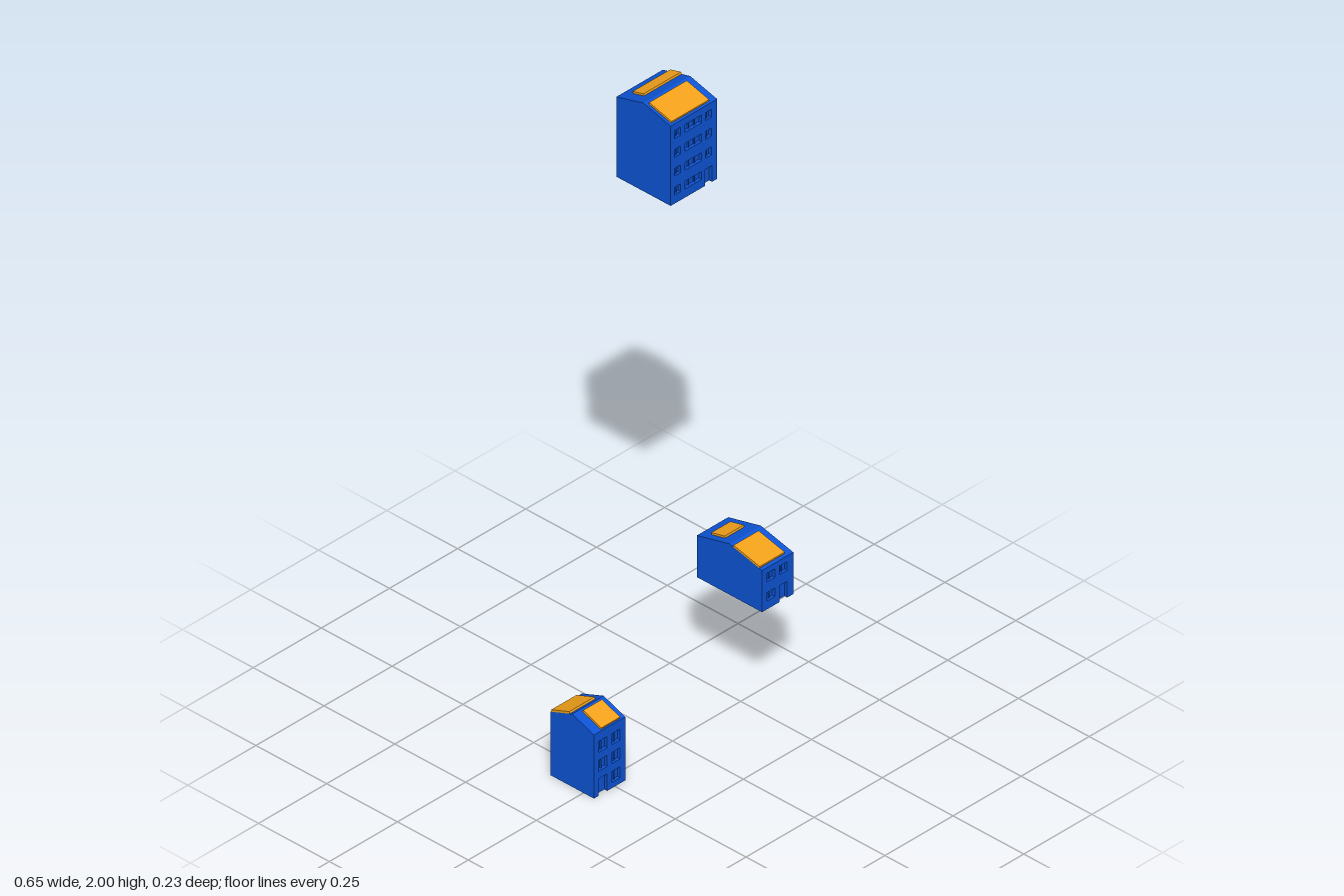
import * as THREE from 'three';

const blue = new THREE.MeshStandardMaterial({ color: 0x0d55d8 });
const orange = new THREE.MeshStandardMaterial({ color: 0xf5a31a });
const RECESS = 0.01;
const PANEL = 0.006;

// x: [min, max], z: [back, front], y: [base, eave, ridge]
// windows: [centre x, centre y, width, height]; panels: [x0, x1, z0, z1]
const columns = (xs, ys, height) => ys.flatMap(y => xs.map(([x, w]) => [x, y, w, height]));
const houses = [
  {
    name: 'leftHouse', x: [-0.327, -0.212], z: [-0.116, 0.037], y: [0, 0.195, 0.224],
    windows: [...columns([[-0.294, 0.031], [-0.246, 0.031]], [0.15, 0.092], 0.034), [-0.246, 0.034, 0.031, 0.034]],
    door: [-0.294, 0.031, 0.052],
    panels: [[-0.327, -0.234, -0.112, -0.048], [-0.298, -0.229, -0.031, 0.033]],
  },
  {
    name: 'upperHouse', x: [-0.086, 0.085], z: [-0.116, 0.076], y: [1.722, 1.967, 1.993],
    windows: [
      ...columns([[-0.06, 0.022], [-0.003, 0.062], [0.053, 0.022]], [1.934, 1.876, 1.818], 0.024),
      ...columns([[-0.06, 0.022], [-0.003, 0.062]], [1.76], 0.024),
    ],
    door: [0.053, 0.026, 0.05],
    panels: [[-0.053, 0.085, -0.088, -0.05], [-0.077, 0.061, -0.01, 0.069]],
  },
  {
    name: 'rightHouse', x: [0.21, 0.325], z: [-0.116, 0.114], y: [0.347, 0.475, 0.503],
    windows: [...columns([[0.243, 0.029], [0.288, 0.029]], [0.444], 0.026), [0.243, 0.385, 0.029, 0.026]],
    door: [0.288, 0.029, 0.05],
    panels: [[0.23, 0.3, -0.083, -0.036], [0.21, 0.302, 0.012, 0.104]],
  },
];

const polygon = pts => new THREE.Shape(pts.map(p => new THREE.Vector2(...p)));
const extrude = (shape, depth) => new THREE.ExtrudeGeometry(shape, { depth, bevelEnabled: false });

function addMesh(group, name, geometry, material) {
  const mesh = new THREE.Mesh(geometry, material);
  mesh.name = name;
  group.add(mesh);
  return mesh;
}

function createHouse({ name, x: [x0, x1], z: [z0, z1], y: [base, eave, ridge], windows, door, panels }) {
  const house = new THREE.Group();
  house.name = name;
  const mid = (z0 + z1) / 2;
  const inner = z1 - RECESS;

  // Gabled body: side profile swept across the width
  const profile = polygon([
    [z0, base], [inner, base], [inner, eave], [z1, eave], [mid, ridge], [z0, eave],
  ]);
  const body = extrude(profile, x1 - x0).rotateY(-Math.PI / 2).translate(x1, 0, 0);
  addMesh(house, 'body', body, blue);

  // Front wall with window openings and a doorway open at the bottom
  const [dx, dw, dh] = door;
  const wall = polygon([
    [x0, base], [dx - dw / 2, base], [dx - dw / 2, base + dh], [dx + dw / 2, base + dh],
    [dx + dw / 2, base], [x1, base], [x1, eave], [x0, eave],
  ]);
  for (const [cx, cy, w, h] of windows) {
    const l = cx - w / 2, r = cx + w / 2, b = cy - h / 2, t = cy + h / 2;
    wall.holes.push(new THREE.Path([[l, b], [l, t], [r, t], [r, b]].map(p => new THREE.Vector2(...p))));

    // Glazing bars inside the recess
    const bars = w > h * 2 ? [-w / 6, w / 6] : [0];
    for (const offset of bars) {
      addMesh(house, 'windowBar', new THREE.BoxGeometry(0.003, h, 0.004), blue)
        .position.set(cx + offset, cy, inner + 0.002);
    }
  }
  addMesh(house, 'frontWall', extrude(wall, RECESS).translate(0, 0, inner), blue);

  // Roof panels lying on the slopes
  const slope = Math.atan2(ridge - eave, z1 - mid);
  for (const [px0, px1, pz0, pz1] of panels) {
    const cz = (pz0 + pz1) / 2;
    const roofY = ridge - Math.abs(cz - mid) * Math.tan(slope);
    const tilt = cz > mid ? slope : -slope;
    const geometry = new THREE.BoxGeometry(px1 - px0, PANEL, (pz1 - pz0) / Math.cos(slope));
    const panel = addMesh(house, 'roofPanel', geometry.translate(0, PANEL / 2, 0), orange);
    panel.position.set((px0 + px1) / 2, roofY, cz);
    panel.rotation.x = tilt;
  }
  return house;
}

export function createModel() {
  const model = new THREE.Group();
  model.name = 'houses';
  for (const spec of houses) model.add(createHouse(spec));
  return model;
}
